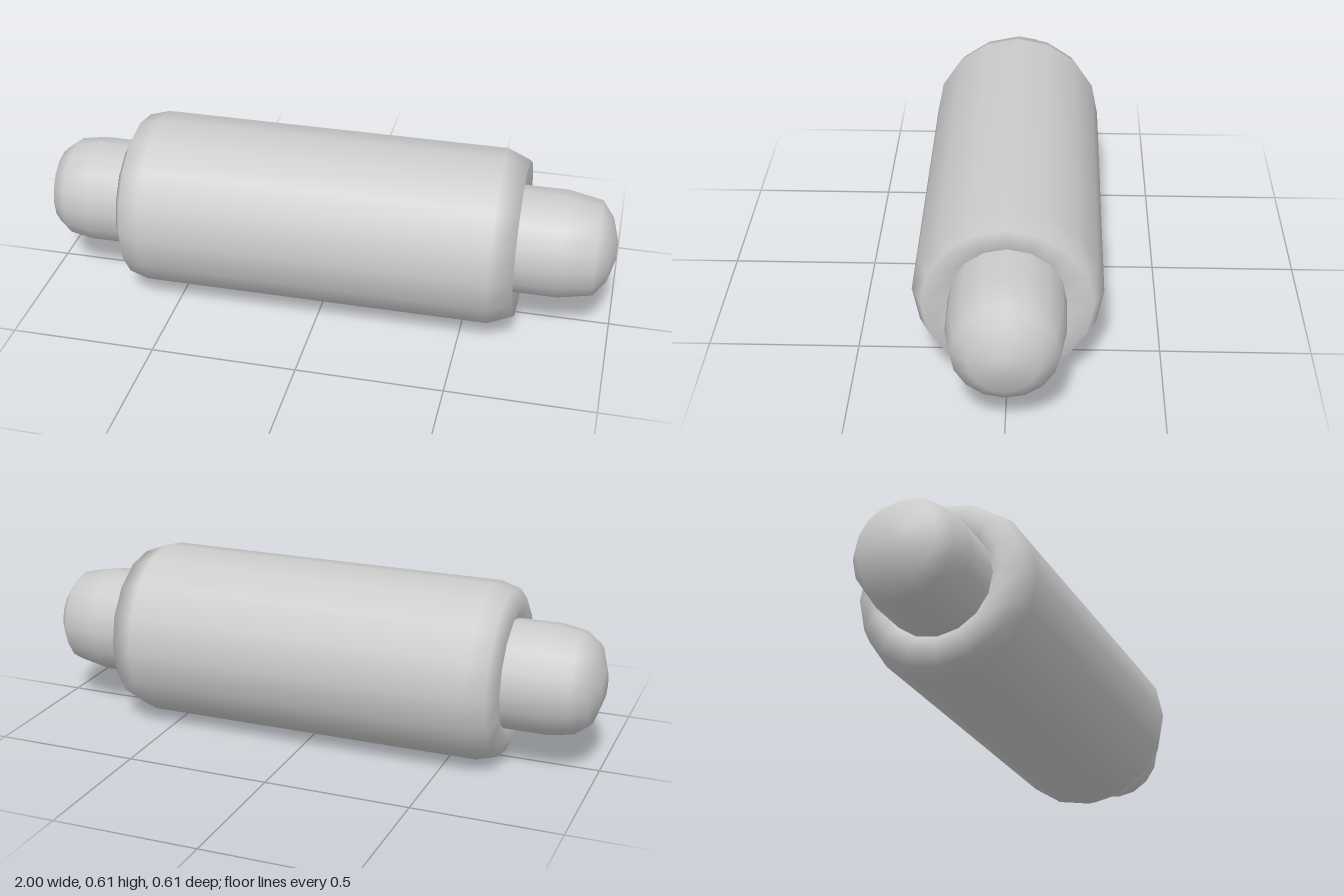
import * as THREE from 'three';

const SIDES = 16;
const RADIUS = 0.305;

// Solid of revolution about the x axis; profile is [x, radius] from left (-x) to right (+x).
function turned(name, profile) {
  const points = profile.map(([x, r]) => new THREE.Vector2(r, x));
  const geometry = new THREE.LatheGeometry(points, SIDES);
  geometry.rotateZ(-Math.PI / 2);
  geometry.translate(0, RADIUS, 0);
  const mesh = new THREE.Mesh(geometry, new THREE.MeshStandardMaterial({ color: 0xcccccc, side: THREE.DoubleSide }));
  mesh.name = name;
  return mesh;
}

export function createModel() {
  const model = new THREE.Group();
  model.name = 'roller';

  // Main barrel with rounded rims dipping slightly towards the pegs
  model.add(turned('barrel', [
    [-0.68, 0.18], [-0.705, 0.225], [-0.675, 0.285], [-0.605, RADIUS],
    [0.6, RADIUS], [0.68, 0.272], [0.65, 0.18],
  ]));

  // Rounded handle pegs
  model.add(turned('rightPeg', [
    [-1, 0], [-1, 0.05], [-0.97, 0.135], [-0.92, 0.173], [-0.835, 0.187], [-0.66, 0.187],
  ]));
  model.add(turned('leftPeg', [
    [0.63, 0.187], [0.82, 0.187], [0.935, 0.165], [0.977, 0.11], [1, 0.03], [1, 0],
  ]));

  return model;
}
